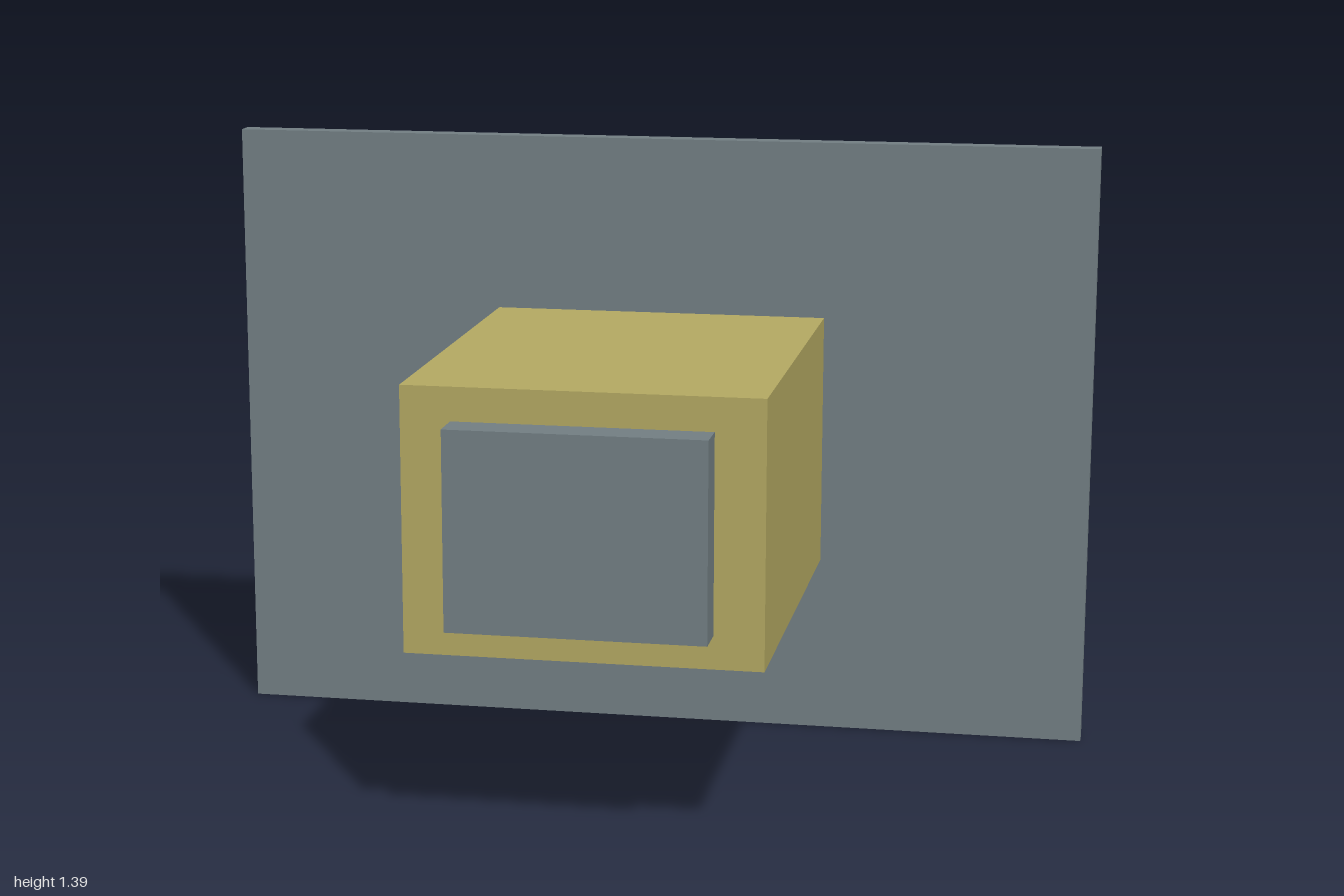
import * as THREE from 'three';

export function createModel() {
  const model = new THREE.Group();
  model.name = 'wallMountedBox';

  const material = (name, color) => {
    const m = new THREE.MeshStandardMaterial({ color });
    m.name = name;
    return m;
  };
  const olive = material('olive', 0xb5aa63);
  const slate = material('slate', 0x737f84);
  const paleGrey = material('paleGrey', 0xc0c0c0);

  // Box centred on x = 0, given its width and its extents in y and z
  const addBox = (name, mat, width, [y0, y1], [z0, z1]) => {
    const mesh = new THREE.Mesh(new THREE.BoxGeometry(width, y1 - y0, z1 - z0), mat);
    mesh.position.set(0, (y0 + y1) / 2, (z0 + z1) / 2);
    mesh.name = name;
    model.add(mesh);
  };

  // Wall panel with the housing passing through it
  addBox('wallPanel', slate, 2, [0, 1.387], [-0.485, -0.44]);
  addBox('housing', olive, 0.766, [0.408, 0.983], [-0.559, 0.48]);

  // Raised block on the front of the housing
  addBox('frontBlock', slate, 0.552, [0.48, 0.91], [0.48, 0.559]);

  // Underside: narrow lip near the front and a thin plate hanging just below
  addBox('bottomLip', olive, 0.46, [0.388, 0.408], [0.34, 0.385]);
  addBox('bottomPlate', paleGrey, 0.345, [0.388, 0.401], [-0.098, 0.172]);

  return model;
}
